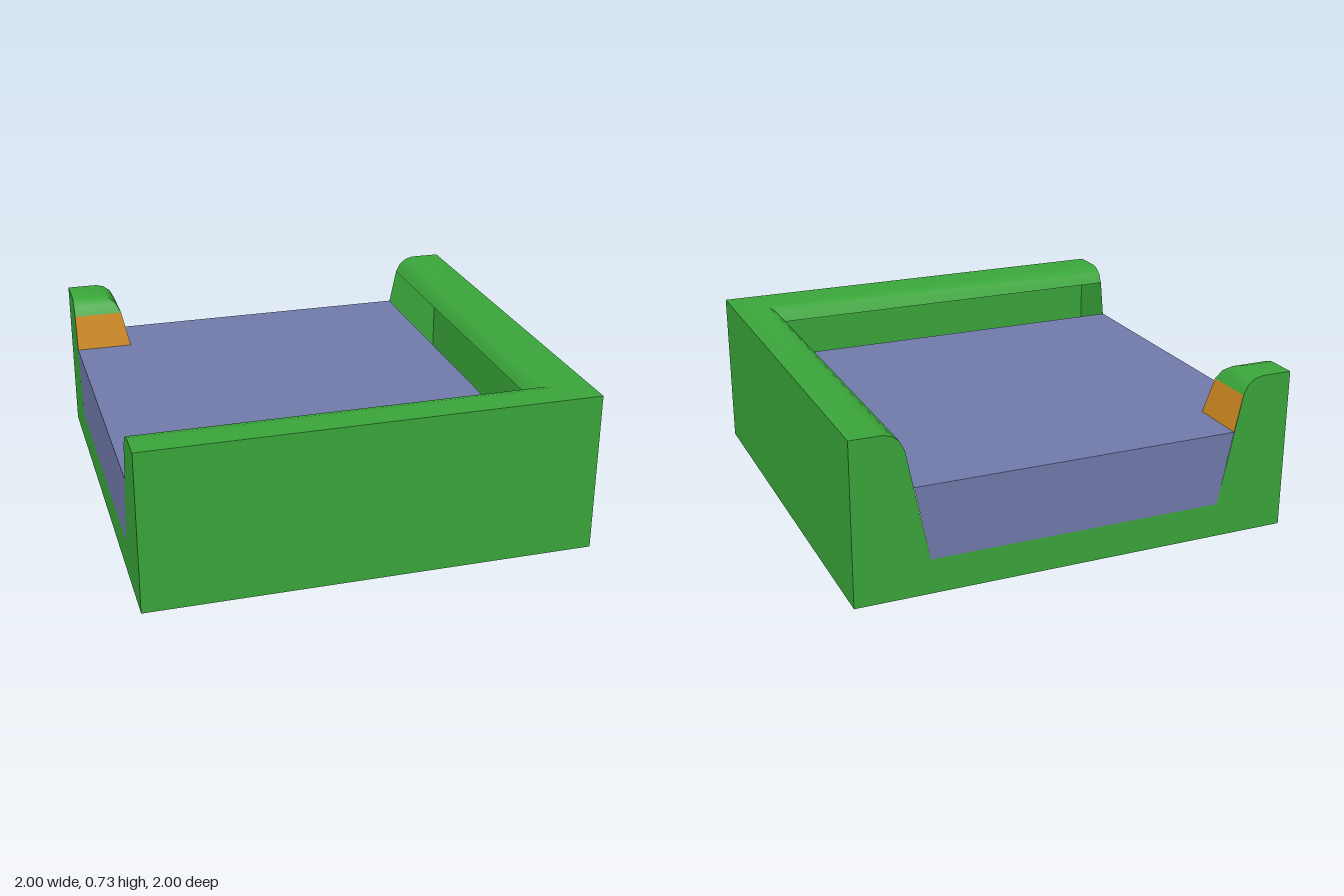
import * as THREE from 'three';
import { toCreasedNormals } from 'three/addons/utils/BufferGeometryUtils.js';

const HEIGHT = 0.727, WATER_Y = 0.485, BED_Y = 0.155;

// Bank cross-section as [distance in from the outer wall, height]
const LIP = [[0, HEIGHT], [0.14, HEIGHT], [0.178, 0.717], [0.208, 0.693], [0.23, 0.65]];
const SLOPE = [[0.23, 0.65], [0.265, WATER_Y]];
const NOTCH_FOOT = 0.33;

function material(name, color) {
  const m = new THREE.MeshStandardMaterial({ color, side: THREE.DoubleSide });
  m.name = name;
  return m;
}

// Sweeps a cross-section round a mitred corner; path(d) gives three [x, z] points
function sweep(profile, path) {
  const positions = [], index = [];
  profile.forEach(([d, y], i) => {
    path(d).forEach(([x, z], j) => {
      positions.push(x, y, z);
      if (i + 1 < profile.length && j < 2) {
        const a = i * 3 + j, b = a + 3;
        index.push(a, b, b + 1, a, b + 1, a + 1);
      }
    });
  });
  const g = new THREE.BufferGeometry();
  g.setAttribute('position', new THREE.Float32BufferAttribute(positions, 3));
  g.setIndex(index);
  return toCreasedNormals(g, 0.6);
}

function polygon(points) {
  return new THREE.ShapeGeometry(new THREE.Shape(points.map(([x, y]) => new THREE.Vector2(x, y))));
}

export function createModel() {
  const model = new THREE.Group();
  const grass = material('grass green', 0x3aa63a);
  const water = material('water blue', 0x717aab);
  const earth = material('earth orange', 0xd08a20);

  const add = (name, geometry, mat, turn = 0, offset = 0) => {
    geometry.translate(0, 0, offset).rotateY(turn);
    const mesh = new THREE.Mesh(geometry, mat);
    mesh.name = name;
    model.add(mesh);
  };

  // Solid outer walls
  const wall = [[-1, 0], [1, 0], [1, HEIGHT], [-1, HEIGHT]];
  add('frontWall', polygon(wall), grass, 0, 1);
  add('sideWall', polygon(wall), grass, Math.PI / 2, 1);

  // Notched walls, with the water's cut face filling each notch
  const half = [[NOTCH_FOOT, BED_Y], ...[...LIP].reverse()].map(([d, y]) => [1 - d, y]);
  const notched = [
    [-1, 0], [1, 0],
    ...[...half].reverse(),
    ...half.map(([x, y]) => [-x, y]),
  ];
  const foot = 1 - NOTCH_FOOT, edge = 1 - SLOPE[1][0];
  const cut = [[-foot, BED_Y], [foot, BED_Y], [edge, WATER_Y], [-edge, WATER_Y]];
  for (const [side, turn] of [['back', Math.PI], ['openSide', -Math.PI / 2]]) {
    add(side + 'Wall', polygon(notched), grass, turn, 1);
    add(side + 'WaterFace', polygon(cut), water, turn, 1);
  }

  // Water surface, stepping round the corner post
  const surface = polygon([
    [-edge, 1], [-edge, edge], [-1, edge], [-1, -edge], [edge, -edge], [edge, 1],
  ]);
  surface.rotateX(-Math.PI / 2).translate(0, WATER_Y, 0);
  add('waterSurface', surface, water);

  // Rounded bank along two sides
  add('grassBank', sweep(LIP, d => [[1 - d, -1], [1 - d, 1 - d], [-1, 1 - d]]), grass);

  // Corner post with a rounded grass cap over sloped earth
  const postPath = d => [[-1, -1 + d], [-1 + d, -1 + d], [-1 + d, -1]];
  add('postCap', sweep(LIP, postPath), grass);
  add('postSlope', sweep(SLOPE, postPath), earth);

  return model;
}
